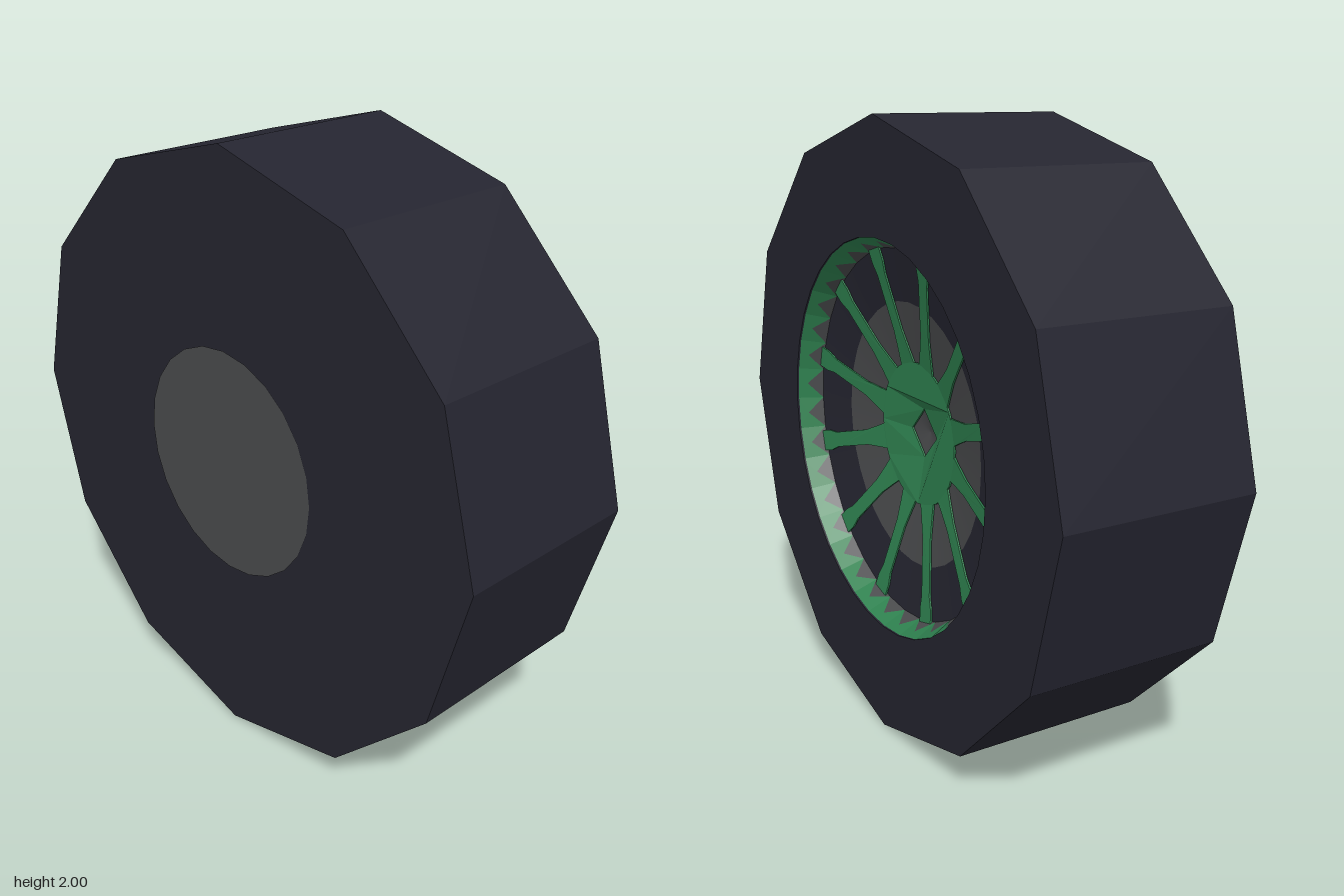
import * as THREE from 'three';

export function createModel() {
  const model = new THREE.Group();
  model.name = 'wheel';
  const wheel = new THREE.Group(); // built with its axle along z, then turned to x
  wheel.name = 'wheelBody';
  wheel.rotation.y = Math.PI / 2;
  wheel.position.y = 1;
  model.add(wheel);

  const mat = (name, color, side = THREE.FrontSide) => {
    const m = new THREE.MeshStandardMaterial({ color, side });
    m.name = name;
    return m;
  };
  const rubber = mat('darkRubber', 0x252530);
  const grey = mat('greyMetal', 0x4a4b4d, THREE.DoubleSide);
  const green = mat('greenPaint', 0x2f8250, THREE.DoubleSide);

  const HALF = 0.325, OPEN = 0.637, FLOOR = 0.6;
  const cone = r => 0.135 + 0.175 * r; // dished wheel face
  const add = (name, geo, m, parent = wheel) => {
    const mesh = new THREE.Mesh(geo, m);
    mesh.name = name;
    parent.add(mesh);
    return mesh;
  };
  const polygon = (r, n) => Array.from({ length: n }, (_, i) =>
    new THREE.Vector2(r * Math.cos(i / n * 2 * Math.PI), r * Math.sin(i / n * 2 * Math.PI)));

  // Twelve-sided tyre with a round opening
  const tyreShape = new THREE.Shape(polygon(1, 12));
  tyreShape.holes.push(new THREE.Path(polygon(OPEN, 36)));
  const tyreGeo = new THREE.ExtrudeGeometry(tyreShape, { depth: 2 * HALF, bevelEnabled: false });
  tyreGeo.translate(0, 0, -HALF);
  add('tyre', tyreGeo, rubber);

  // Closed back with its flat grey cap
  const back = new THREE.CircleGeometry(OPEN, 36);
  back.rotateY(Math.PI).translate(0, 0, -HALF);
  add('tyreBack', back, rubber);
  const cap = new THREE.CircleGeometry(0.38, 24);
  cap.rotateY(Math.PI).translate(0, 0, -HALF - 0.003);
  add('backCap', cap, grey);

  // Dished floor: grey centre, dark outer band
  const dishRing = (name, outer, inner, m) => {
    const geo = new THREE.LatheGeometry(
      [outer, inner].map(r => new THREE.Vector2(r, cone(r))), 36);
    geo.rotateX(Math.PI / 2);
    add(name, geo, m);
  };
  dishRing('floorBand', FLOOR + 0.01, 0.43, rubber);
  dishRing('floorCentre', 0.43, 0, grey);

  // Sloping rim wall: green with grey wedges
  const N = 36, greenPts = [], greyPts = [];
  const at = (i, r, z) => {
    const a = i / N * 2 * Math.PI;
    return [r * Math.cos(a), r * Math.sin(a), z];
  };
  for (let i = 0; i < N; i++) {
    const a0 = at(i, OPEN + 0.003, HALF), a1 = at(i + 1, OPEN + 0.003, HALF);
    const b0 = at(i, FLOOR, cone(FLOOR)), b1 = at(i + 1, FLOOR, cone(FLOOR));
    const mid = a0.map((_, k) => 0.3 * (a0[k] + a1[k]) + 0.2 * (b0[k] + b1[k]));
    greenPts.push(...a0, ...mid, ...b0, ...a0, ...a1, ...mid, ...a1, ...b1, ...mid);
    greyPts.push(...b0, ...mid, ...b1);
  }
  const triangles = pts => {
    // reversed so the front of each face looks towards the axle
    const geo = new THREE.BufferGeometry();
    geo.setAttribute('position', new THREE.Float32BufferAttribute(pts, 3));
    geo.computeVertexNormals();
    return geo;
  };
  add('rimWall', triangles(greenPts), green);
  add('rimWedges', triangles(greyPts), grey);

  // Thin plates bent onto the dish
  const plate = (shape, angle) => {
    const geo = new THREE.ExtrudeGeometry(shape, { depth: 0.006, bevelEnabled: false });
    geo.rotateZ(angle);
    const p = geo.attributes.position;
    for (let i = 0; i < p.count; i++) {
      p.setZ(i, p.getZ(i) + 0.004 + cone(Math.hypot(p.getX(i), p.getY(i))));
    }
    geo.computeVertexNormals();
    return geo;
  };

  // Hub with a diamond-shaped centre hole
  const hubShape = new THREE.Shape(polygon(0.235, 24));
  hubShape.holes.push(new THREE.Path(polygon(0.08, 4)));
  add('hub', plate(hubShape, 0), green);

  // Twelve spokes, slightly flared at both ends
  const half = [[0.2, 0.048], [0.27, 0.036], [0.34, 0.026], [0.52, 0.026], [0.56, 0.036], [0.605, 0.036]];
  const outline = [...half.map(([r, w]) => new THREE.Vector2(r, -w)),
    ...half.slice().reverse().map(([r, w]) => new THREE.Vector2(r, w))];
  const spokes = new THREE.Group();
  spokes.name = 'spokes';
  wheel.add(spokes);
  for (let i = 0; i < 12; i++) {
    add('spoke', plate(new THREE.Shape(outline), (i + 0.5) * Math.PI / 6), green, spokes);
  }
  return model;
}
